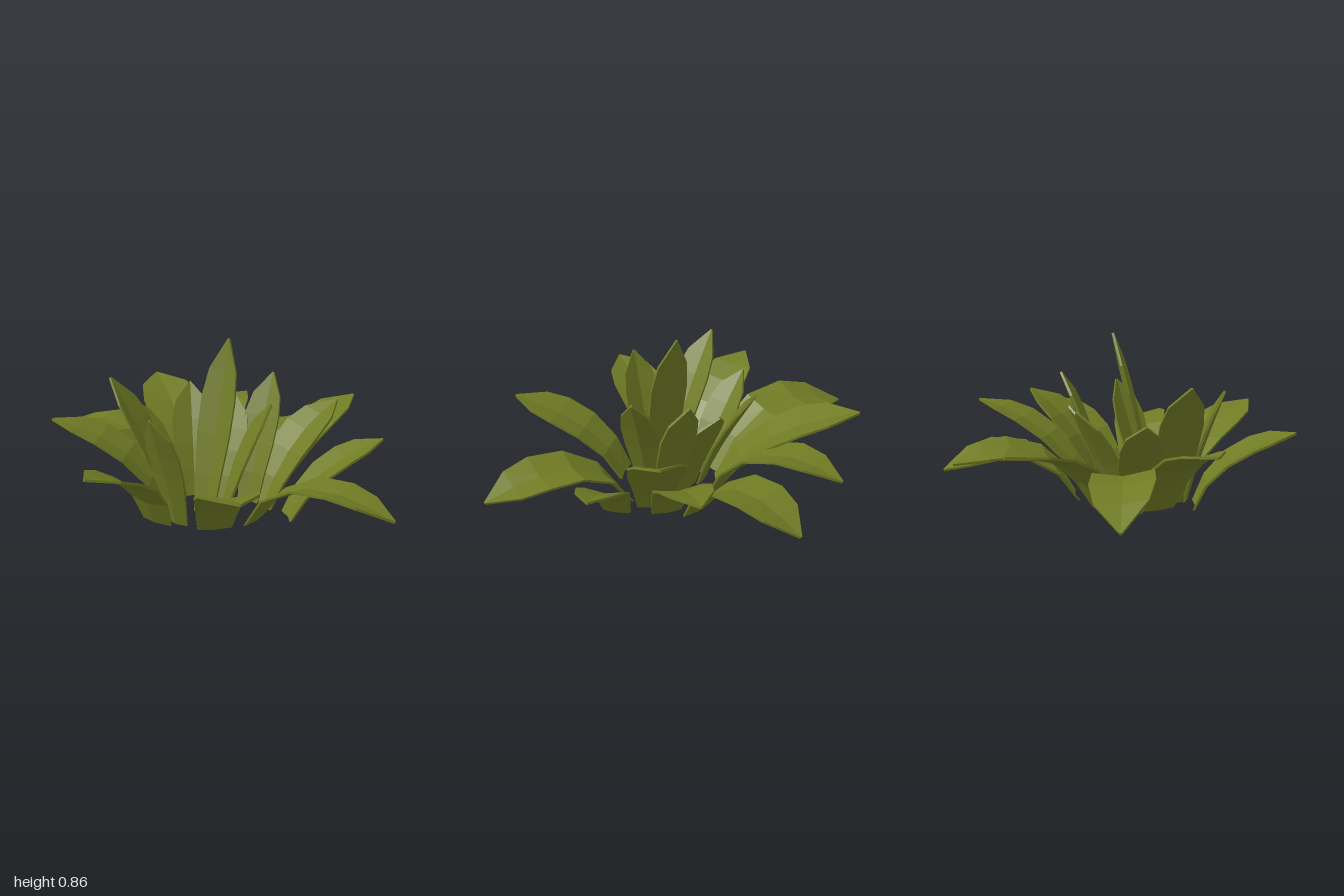
import * as THREE from 'three';

const material = new THREE.MeshStandardMaterial({ color: 0x707b24, flatShading: true });

// Stations along a leaf: [position along spine, share of full width]
const STATIONS = [[0, 0.6], [0.22, 0.77], [0.45, 0.97], [0.66, 1], [0.82, 0.8], [1, 0.03]];
const THICK = 0.012;

// One leaf: a thin, gently folded blade swept along an arching spine.
// bend = [share of reach, height] of the arch's control point, roll = sideways tilt
function makeLeaf(fold, base, tip, width, bend, roll = 0) {
  const a = new THREE.Vector3(base[0], 0, base[1]);
  const b = new THREE.Vector3(...tip);
  const c = a.clone().lerp(b, bend[0]).setY(bend[1]);
  const spine = new THREE.QuadraticBezierCurve3(a, c, b);
  const heading = b.clone().sub(a).setY(0).normalize();
  const level = new THREE.Vector3(heading.z, 0, -heading.x);
  const pos = [], index = [];

  STATIONS.forEach(([t, share]) => {
    const p = spine.getPointAt(t);
    const tangent = spine.getTangentAt(t);
    const side = level.clone().applyAxisAngle(tangent, roll * t);
    const normal = tangent.cross(side).normalize();
    const half = width * share / 2;
    // upper edge, midrib, edge, then the same three on the underside
    for (const [s, n] of [[-1, 0], [0, 0], [1, 0], [1, 1], [0, 1], [-1, 1]]) {
      const lift = (Math.abs(s) - 0.5) * fold * half - n * THICK;
      const v = p.clone().addScaledVector(side, s * half).addScaledVector(normal, lift);
      pos.push(v.x, t === 0 ? 0 : v.y, v.z);
    }
  });

  for (let i = 0; i < STATIONS.length - 1; i++) {
    for (let j = 0; j < 6; j++) {
      const p = i * 6 + j, q = i * 6 + (j + 1) % 6;
      index.push(p, p + 6, q, q, p + 6, q + 6);
    }
  }
  // close both ends
  const e = (STATIONS.length - 1) * 6;
  for (const [p, q, r] of [[0, 5, 4], [0, 4, 1], [1, 4, 3], [1, 3, 2]]) {
    index.push(p, r, q, e + p, e + q, e + r);
  }
  const geo = new THREE.BufferGeometry();
  geo.setAttribute('position', new THREE.Float32BufferAttribute(pos, 3));
  geo.setIndex(index);
  geo.computeVertexNormals();
  return new THREE.Mesh(geo, material);
}

// Wide arching leaves around the outside: base (x, z), tip (x, y, z), width, bend, roll
const OUTER = [
  [[-0.2, -0.01], [-1, 0.22, -0.22], 0.3, [0.3, 0.52], 0.16],
  [[-0.12, -0.08], [-0.58, 0.45, -0.64], 0.32, [0.32, 0.4]],
  [[-0.07, -0.13], [-0.18, 0.31, -0.84], 0.28, [0.3, 0.49], -0.14],
  [[0.13, -0.19], [0.16, 0.18, -0.87], 0.31, [0.3, 0.43], -0.14],
  [[0.25, -0.09], [0.58, 0.44, -0.64], 0.25, [0.33, 0.38]],
  [[0.26, -0.01], [0.55, 0.49, -0.36], 0.28, [0.33, 0.38]],
  [[0.42, 0.09], [0.83, 0.37, -0.18], 0.23, [0.25, 0.28]],
  [[0.28, 0.18], [1, 0.19, 0.38], 0.29, [0.25, 0.4], -0.16],
  [[0.13, 0.34], [0.43, 0.39, 0.86], 0.28, [0.2, 0.3]],
  [[-0.16, 0.36], [-0.3, 0.39, 0.84], 0.28, [0.16, 0.3]],
  [[-0.18, 0.17], [-0.76, 0.44, 0.28], 0.28, [0.28, 0.38]],
];

// Narrower upright leaves at the heart
const INNER = [
  [[-0.1, 0.25], [-0.44, 0.68, 0.25], 0.22, [0.35, 0.38]],
  [[-0.14, 0.06], [-0.45, 0.51, 0.03], 0.21, [0.35, 0.28]],
  [[-0.1, 0], [-0.22, 0.54, -0.25], 0.21, [0.35, 0.3]],
  [[0.02, 0], [0.03, 0.51, -0.24], 0.24, [0.35, 0.3]],
  [[0.18, -0.03], [0.24, 0.64, -0.24], 0.2, [0.35, 0.36]],
  [[0.02, 0.19], [0.08, 0.86, 0], 0.2, [0.4, 0.42]],
  [[0.12, 0.18], [0.32, 0.57, 0.07], 0.19, [0.35, 0.32]],
  [[-0.06, 0.34], [-0.12, 0.58, 0.52], 0.19, [0.35, 0.32]],
];

export function createModel() {
  const plant = new THREE.Group();
  plant.name = 'leafyPlant';
  for (const [name, list, fold] of [['outerLeaf', OUTER, 0.16], ['innerLeaf', INNER, 0.24]]) {
    list.forEach((spec, i) => {
      const leaf = makeLeaf(fold, ...spec);
      leaf.name = name + (i + 1);
      plant.add(leaf);
    });
  }
  return plant;
}
